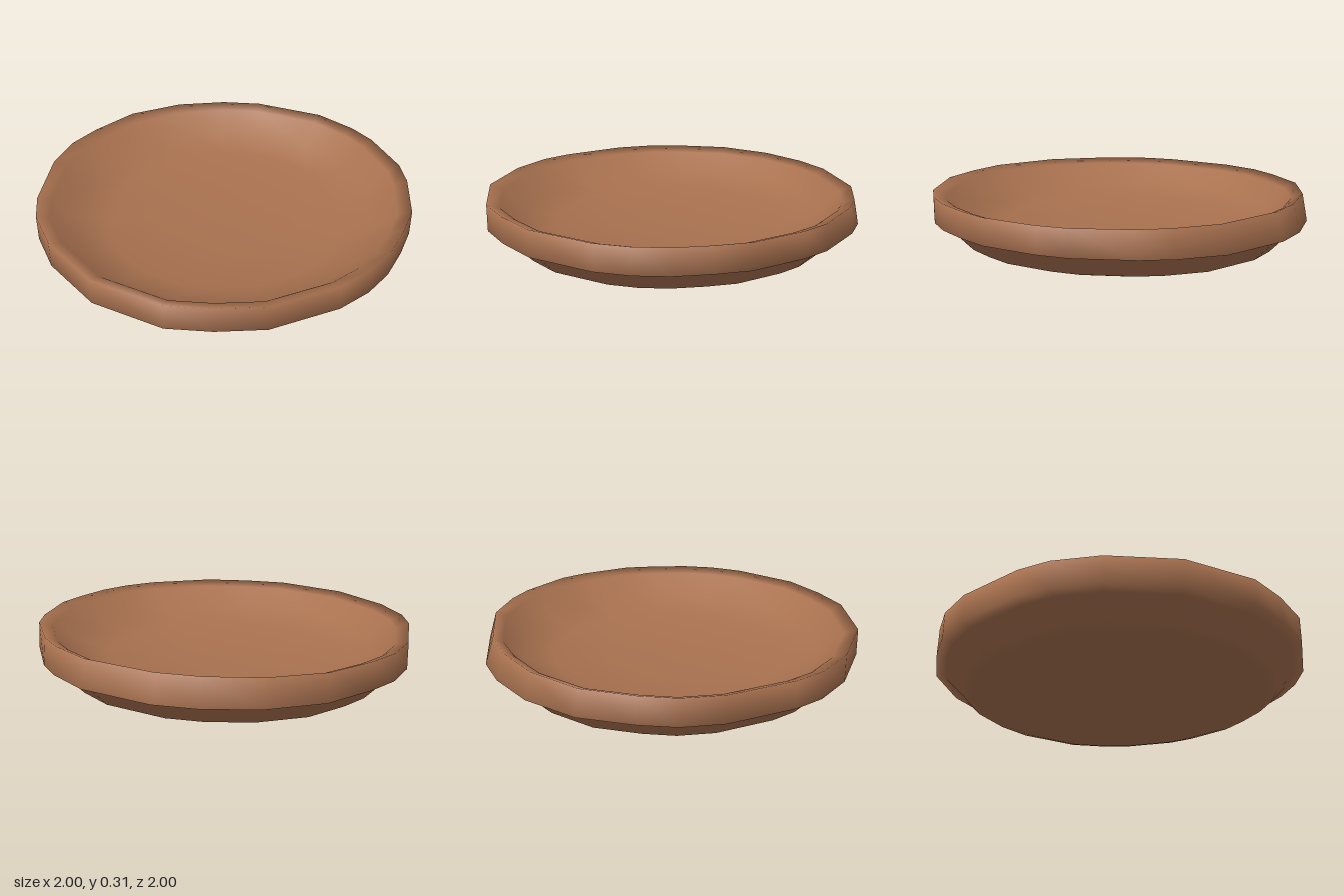
import * as THREE from 'three';

// Hand-shaped outline, listed as [x, z] around the dish
const OUTLINE = [
  [1, -0.03], [0.98, 0.15], [0.94, 0.34], [0.87, 0.5], [0.76, 0.65], [0.47, 0.88],
  [0.23, 0.96], [0, 1], [-0.39, 0.92], [-0.7, 0.71], [-0.86, 0.52], [-0.93, 0.36],
  [-1, 0], [-0.98, -0.22], [-0.91, -0.4], [-0.77, -0.65], [-0.53, -0.85], [-0.27, -0.96],
  [-0.05, -1], [0.34, -0.95], [0.56, -0.83], [0.69, -0.72], [0.88, -0.47], [0.94, -0.32],
];

// Cross-section from underside centre, over the rim, to inside centre:
// [scale of outline, height, tilt along x, inward pull of the back]
const PROFILE = [
  [0, 0.02, 0, 0],
  [0.6, 0.015, 0.012, 0],
  [0.78, 0.016, 0.015, 0],
  [0.845, 0.036, 0.016, 0],
  [0.945, 0.14, 0.018, 0],
  [1, 0.156, 0.017, 0],
  [1, 0.296, 0.014, 0.045],
  [0.93, 0.27, 0.014, 0.03],
  [0.81, 0.16, 0.01, 0],
  [0.64, 0.115, 0.005, 0],
  [0.35, 0.092, 0, 0],
  [0, 0.085, 0, 0],
];

// Skin the rings into one closed, smooth shell
function dishGeometry() {
  const n = OUTLINE.length;
  const positions = [];
  const index = [];
  const starts = [];
  for (const [scale, height, tilt, pull] of PROFILE) {
    starts.push(positions.length / 3);
    if (scale === 0) {
      positions.push(0, height, 0);
      continue;
    }
    for (const [x, z] of OUTLINE) {
      const back = z < 0 ? 1 + pull * z : 1;
      positions.push(x * scale, Math.max(0, height + tilt * x), z * scale * back);
    }
  }
  for (let r = 0; r < PROFILE.length - 1; r++) {
    const a = starts[r], b = starts[r + 1];
    for (let i = 0; i < n; i++) {
      const j = (i + 1) % n;
      if (PROFILE[r][0] === 0) index.push(a, b + i, b + j);
      else if (PROFILE[r + 1][0] === 0) index.push(a + i, b, a + j);
      else index.push(a + i, b + i, b + j, a + i, b + j, a + j);
    }
  }
  const geometry = new THREE.BufferGeometry();
  geometry.setAttribute('position', new THREE.Float32BufferAttribute(positions, 3));
  geometry.setIndex(index);
  geometry.computeVertexNormals();
  return geometry;
}

export function createModel() {
  const model = new THREE.Group();
  model.name = 'shallowDish';
  const clay = new THREE.MeshStandardMaterial({ color: 0xa8714f });
  clay.name = 'brown clay';
  const dish = new THREE.Mesh(dishGeometry(), clay);
  dish.name = 'dish';
  model.add(dish);
  return model;
}
